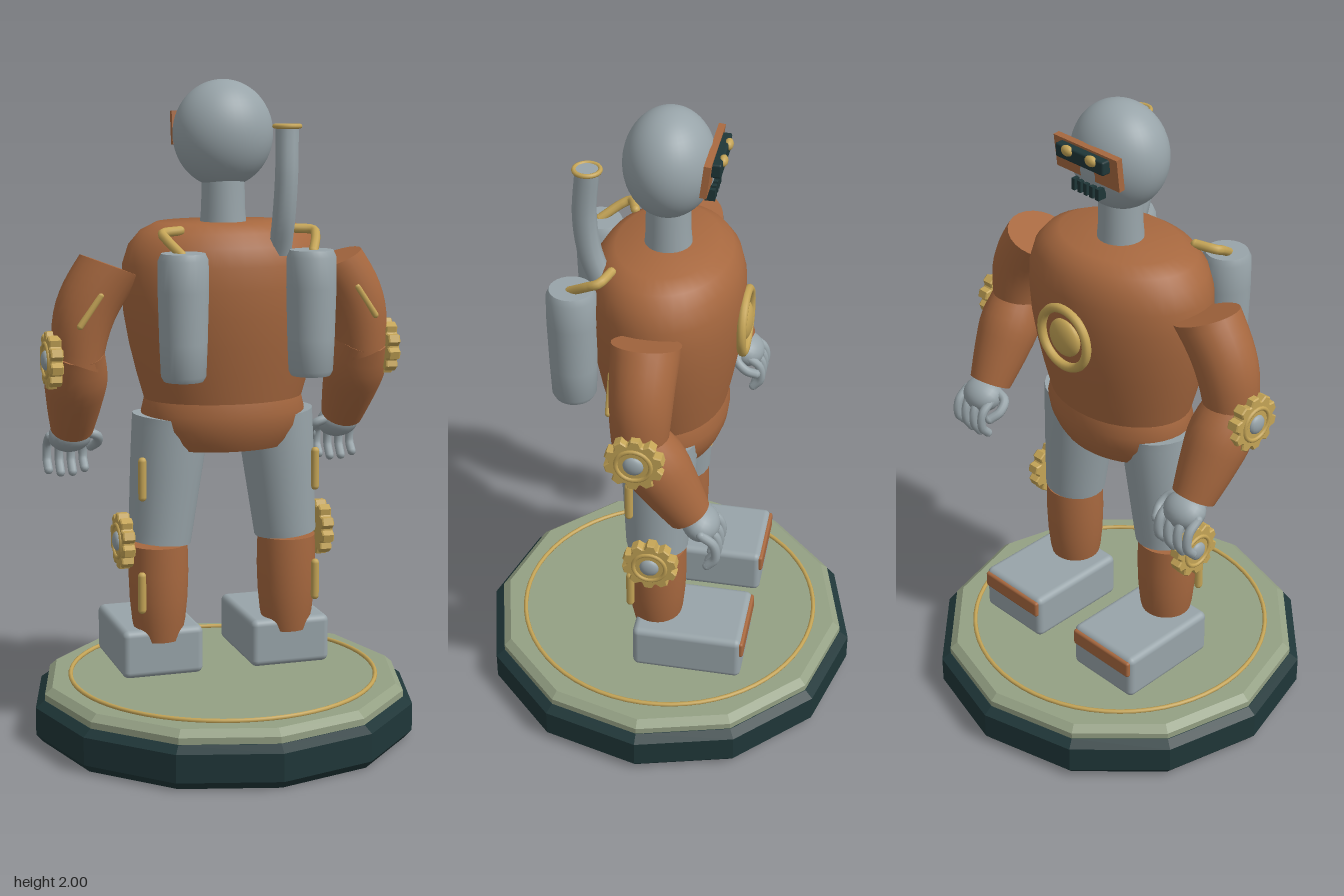
import * as THREE from 'three';
import { toCreasedNormals } from 'three/addons/utils/BufferGeometryUtils.js';
import { RoundedBoxGeometry } from 'three/addons/geometries/RoundedBoxGeometry.js';

const paint = (name, color) => Object.assign(new THREE.MeshStandardMaterial({ color }), { name });
const V = (x, y, z) => new THREE.Vector3(x, y, z);

export function createModel() {
  const copper = paint('copper', 0xa7683f);
  const steel = paint('steel', 0x98a4a9);
  const gold = paint('gold', 0xc4a456);
  const dark = paint('dark green', 0x1f3638);
  const sage = paint('sage', 0x94a084);

  const root = new THREE.Group();
  root.name = 'robotStatue';

  function add(parent, name, geometry, material, x = 0, y = 0, z = 0) {
    const mesh = new THREE.Mesh(geometry, material);
    mesh.name = name;
    mesh.position.set(x, y, z);
    parent.add(mesh);
    return mesh;
  }
  // closed turned form from [radius, y] pairs, bottom to top
  function turned(profile, sides = 32, crease = 0.6) {
    const pts = [[0, profile[0][1]], ...profile, [0, profile[profile.length - 1][1]]];
    return new THREE.LatheGeometry(pts.map(p => new THREE.Vector2(...p)), sides);
  }
  const solid = (profile, sides = 32, crease = 0.6) => toCreasedNormals(turned(profile, sides), crease);

  // tapered limb from a up to b; radii evenly spaced, bowed sideways by bend
  function limb(parent, name, material, a, b, radii, bend = 0) {
    const axis = b.clone().sub(a), len = axis.length();
    const curve = new THREE.SplineCurve(radii.map((r, i) => new THREE.Vector2(r, (i / (radii.length - 1)) * len)));
    const geo = turned(curve.getPoints(10).map(p => [p.x, p.y]), 24);
    const pos = geo.attributes.position;
    for (let i = 0; i < pos.count; i++) {
      pos.setX(i, pos.getX(i) + bend * Math.sin((Math.PI * pos.getY(i)) / len));
    }
    const mesh = add(parent, name, toCreasedNormals(geo, 0.7), material, a.x, a.y, a.z);
    mesh.quaternion.setFromUnitVectors(V(0, 1, 0), axis.normalize());
    return mesh;
  }
  function tube(parent, name, material, points, radius, ends = true) {
    const curve = new THREE.CatmullRomCurve3(points);
    add(parent, name, new THREE.TubeGeometry(curve, 16, radius, 10), material);
    if (ends) for (const p of [points[0], points[points.length - 1]]) {
      add(parent, name + 'End', new THREE.SphereGeometry(radius, 10, 8), material, p.x, p.y, p.z);
    }
  }
  // short rounded bar between two points
  function bar(parent, name, a, b, radius) {
    const mesh = add(parent, name, new THREE.CapsuleGeometry(radius, a.distanceTo(b) - 2 * radius, 4, 10), gold);
    mesh.position.copy(a).lerp(b, 0.5);
    mesh.quaternion.setFromUnitVectors(V(0, 1, 0), b.clone().sub(a).normalize());
  }
  // toothed joint wheel, axle along x
  function gear(parent, name, x, y) {
    const g = new THREE.Group();
    g.name = name;
    g.position.set(x, y, 0);
    const shape = new THREE.Shape(), teeth = 10;
    for (let i = 0; i < teeth; i++) {
      [[0.0, 0.068], [0.22, 0.083], [0.6, 0.083], [0.82, 0.068]].forEach(([t, r], k) => {
        const a = ((i + t) / teeth) * Math.PI * 2;
        shape[i + k ? 'lineTo' : 'moveTo'](Math.cos(a) * r, Math.sin(a) * r);
      });
    }
    shape.closePath();
    const wheel = new THREE.ExtrudeGeometry(shape, {
      depth: 0.03, bevelEnabled: true, bevelSize: 0.003, bevelThickness: 0.004, bevelSegments: 1,
    }).translate(0, 0, -0.015).rotateY(Math.PI / 2);
    add(g, 'gearWheel', wheel, gold);
    add(g, 'gearRing', new THREE.TorusGeometry(0.05, 0.007, 8, 28).rotateY(Math.PI / 2), gold, 0.018);
    add(g, 'gearHub', new THREE.SphereGeometry(0.03, 16, 12).scale(0.5, 1, 1), steel, 0.018);
    parent.add(g);
  }

  // twelve-sided plinth
  add(root, 'plinthBase', solid([[0.575, 0], [0.597, 0.025], [0.597, 0.11], [0.57, 0.13]], 12, 0.3), dark);
  add(root, 'plinthTop', solid([[0.568, 0.128], [0.568, 0.15], [0.545, 0.17]], 12, 0.3), sage);
  add(root, 'plinthRing', new THREE.TorusGeometry(0.476, 0.007, 8, 64).rotateX(Math.PI / 2), gold, 0, 0.174, 0);

  // body
  add(root, 'torso', solid([[0.245, 1.05], [0.268, 1.13], [0.29, 1.22], [0.306, 1.31], [0.312, 1.39],
    [0.308, 1.46], [0.29, 1.515], [0.255, 1.555], [0.205, 1.58]], 40, 0.7).scale(1, 1, 0.735), copper, 0, 0, 0.003);
  add(root, 'pelvis', solid([[0.205, 0.9], [0.225, 0.925], [0.246, 0.965], [0.255, 1.01], [0.245, 1.052]], 40)
    .scale(1, 1, 0.72), copper);
  add(root, 'neck', solid([[0.072, 1.55], [0.066, 1.62], [0.064, 1.72]], 24), steel, 0, 0, 0.003);
  add(root, 'head', new THREE.SphereGeometry(1, 40, 28).scale(0.152, 0.16, 0.132), steel, 0, 1.84, 0);

  // face, looking towards -z
  const face = new THREE.Group();
  face.name = 'face';
  root.add(face);
  add(face, 'facePlate', new THREE.BoxGeometry(0.25, 0.1, 0.02), copper, 0, 1.855, -0.122).rotation.x = -0.12;
  add(face, 'visor', new RoundedBoxGeometry(0.19, 0.042, 0.032, 2, 0.006), dark, 0, 1.875, -0.146);
  for (const s of [-1, 1]) {
    add(face, 'eye', new THREE.SphereGeometry(1, 14, 10).scale(0.022, 0.016, 0.013), gold, s * 0.047, 1.885, -0.16);
  }
  for (let i = -2; i <= 2; i++) {
    add(face, 'mouthSlot', new THREE.BoxGeometry(0.013, 0.035, 0.03), dark, i * 0.024, 1.775, -0.124);
  }

  // chest emblem
  add(root, 'chestRing', new THREE.TorusGeometry(0.094, 0.014, 10, 40), gold, 0, 1.33, -0.229);
  add(root, 'chestDisc', new THREE.SphereGeometry(1, 28, 14).scale(0.06, 0.06, 0.025), gold, 0, 1.33, -0.225);

  // chimney pipe on one side only
  tube(root, 'pipe', steel, [V(0.122, 1.5, 0.175), V(0.122, 1.6, 0.208), V(0.126, 1.72, 0.219), V(0.132, 1.865, 0.206)], 0.035, false);
  add(root, 'pipeCap', new THREE.CylinderGeometry(0.034, 0.034, 0.01, 20), steel, 0.132, 1.864, 0.206);
  add(root, 'pipeRim', new THREE.TorusGeometry(0.037, 0.007, 8, 24).rotateX(Math.PI / 2), gold, 0.132, 1.866, 0.206);

  // everything that exists once per side
  for (const s of [1, -1]) {
    const side = new THREE.Group();
    side.name = s > 0 ? 'leftSide' : 'rightSide';
    side.scale.x = s;
    root.add(side);

    // leg
    limb(side, 'thigh', steel, V(0.203, 0.61, 0), V(0.165, 0.995, 0), [0.096, 0.104, 0.112, 0.118]);
    add(side, 'shin', solid([[0.07, 0.3], [0.082, 0.36], [0.089, 0.43], [0.092, 0.51], [0.09, 0.6]], 28), copper, 0.207);
    add(side, 'foot', new RoundedBoxGeometry(0.255, 0.15, 0.345, 3, 0.02), steel, 0.206, 0.265, -0.114);
    add(side, 'toeStrip', new RoundedBoxGeometry(0.24, 0.055, 0.02, 2, 0.008), copper, 0.206, 0.302, -0.284);
    gear(side, 'kneeGear', 0.318, 0.615);
    bar(side, 'thighBar', V(0.275, 0.75, 0.073), V(0.275, 0.885, 0.073), 0.013);
    bar(side, 'shinBar', V(0.278, 0.4, 0.072), V(0.278, 0.53, 0.072), 0.013);

    // arm
    limb(side, 'upperArm', copper, V(0.455, 1.165, 0), V(0.345, 1.455, 0), [0.078, 0.088, 0.094, 0.1], 0.03);
    limb(side, 'forearm', copper, V(0.441, 0.945, -0.14), V(0.452, 1.21, 0.01), [0.066, 0.084, 0.095, 0.078]);
    gear(side, 'elbowGear', 0.53, 1.18);
    bar(side, 'armBar', V(0.395, 1.385, 0.09), V(0.468, 1.28, 0.086), 0.01);

    // hand
    const palm = add(side, 'palm', new THREE.SphereGeometry(1, 20, 14).scale(0.068, 0.05, 0.058), steel, 0.44, 0.915, -0.175);
    palm.rotation.x = -0.5;
    for (let i = 0; i < 4; i++) {
      const x = 0.388 + i * 0.038, drop = i === 0 || i === 3 ? 0.01 : 0;
      tube(side, 'finger', steel, [V(x, 0.915, -0.185), V(x, 0.885, -0.222), V(x, 0.835, -0.228), V(x, 0.795 + drop, -0.205)], 0.014);
    }
    tube(side, 'thumb', steel, [V(0.4, 0.93, -0.15), V(0.36, 0.915, -0.155), V(0.35, 0.89, -0.185), V(0.365, 0.87, -0.215)], 0.015);

    // back tank and hose
    add(side, 'tank', solid([[0.058, 1.14], [0.066, 1.155], [0.07, 1.25], [0.074, 1.4], [0.073, 1.49], [0.064, 1.51]], 28),
      steel, 0.195, 0, 0.248);
    tube(side, 'hose', gold, [V(0.2, 1.505, 0.25), V(0.228, 1.545, 0.19), V(0.232, 1.56, 0.16), V(0.172, 1.565, 0.135)], 0.014);
  }
  return root;
}
